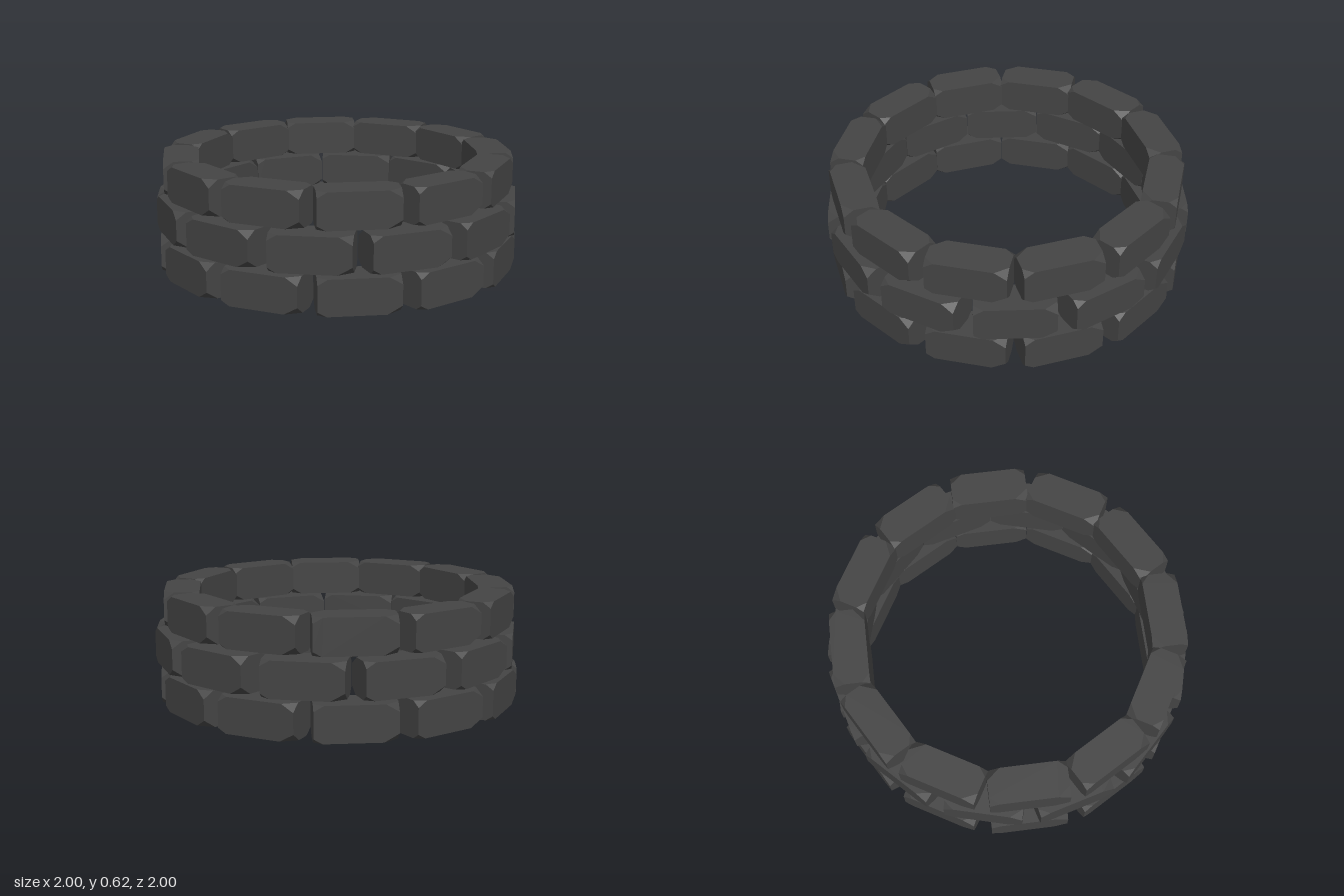
import * as THREE from 'three';
import { ConvexGeometry } from 'three/addons/geometries/ConvexGeometry.js';

// Stone block: a box with its eight corners cut off, slightly uneven.
// x runs along the ring, y up, z outward.
function blockGeometry(length, height, depth) {
  const points = [];
  const uneven = [1, 0.75, 1.2, 0.85, 0.9, 1.25, 0.8, 1.1];
  let i = 0;
  for (const sx of [-1, 1]) for (const sy of [-1, 1]) for (const sz of [-1, 1]) {
    const k = uneven[i++];
    const x = length / 2, y = height / 2, z = depth / 2;
    points.push(
      new THREE.Vector3(sx * (x - 0.06 * k), sy * y, sz * z),
      new THREE.Vector3(sx * x, sy * (y - 0.035 * k), sz * z),
      new THREE.Vector3(sx * x, sy * y, sz * (z - 0.05 * k))
    );
  }
  return new ConvexGeometry(points);
}

export function createModel() {
  const model = new THREE.Group();
  model.name = 'stoneRing';
  const stone = new THREE.MeshStandardMaterial({ color: 0x444444, flatShading: true });
  const count = 12;
  const step = (Math.PI * 2) / count;
  const block = blockGeometry(0.42, 0.192, 0.19);

  // Three courses, the middle one turned half a block
  const courses = [
    { name: 'bottomCourse', y: 0.097, outer: 0.975, turn: 0, x: -0.006, z: 0.006 },
    { name: 'middleCourse', y: 0.31, outer: 0.98, turn: 0.5, x: 0, z: 0 },
    { name: 'topCourse', y: 0.524, outer: 0.948, turn: 0, x: -0.006, z: 0.005 }
  ];
  for (const c of courses) {
    const course = new THREE.Group();
    course.name = c.name;
    course.position.set(c.x, c.y, c.z);
    for (let i = 0; i < count; i++) {
      const angle = (i + c.turn) * step;
      const radius = c.outer - 0.095;
      const mesh = new THREE.Mesh(block, stone);
      mesh.name = 'stoneBlock' + (i + 1);
      mesh.position.set(Math.sin(angle) * radius, 0, Math.cos(angle) * radius);
      mesh.rotation.y = angle;
      course.add(mesh);
    }
    model.add(course);
  }
  return model;
}
